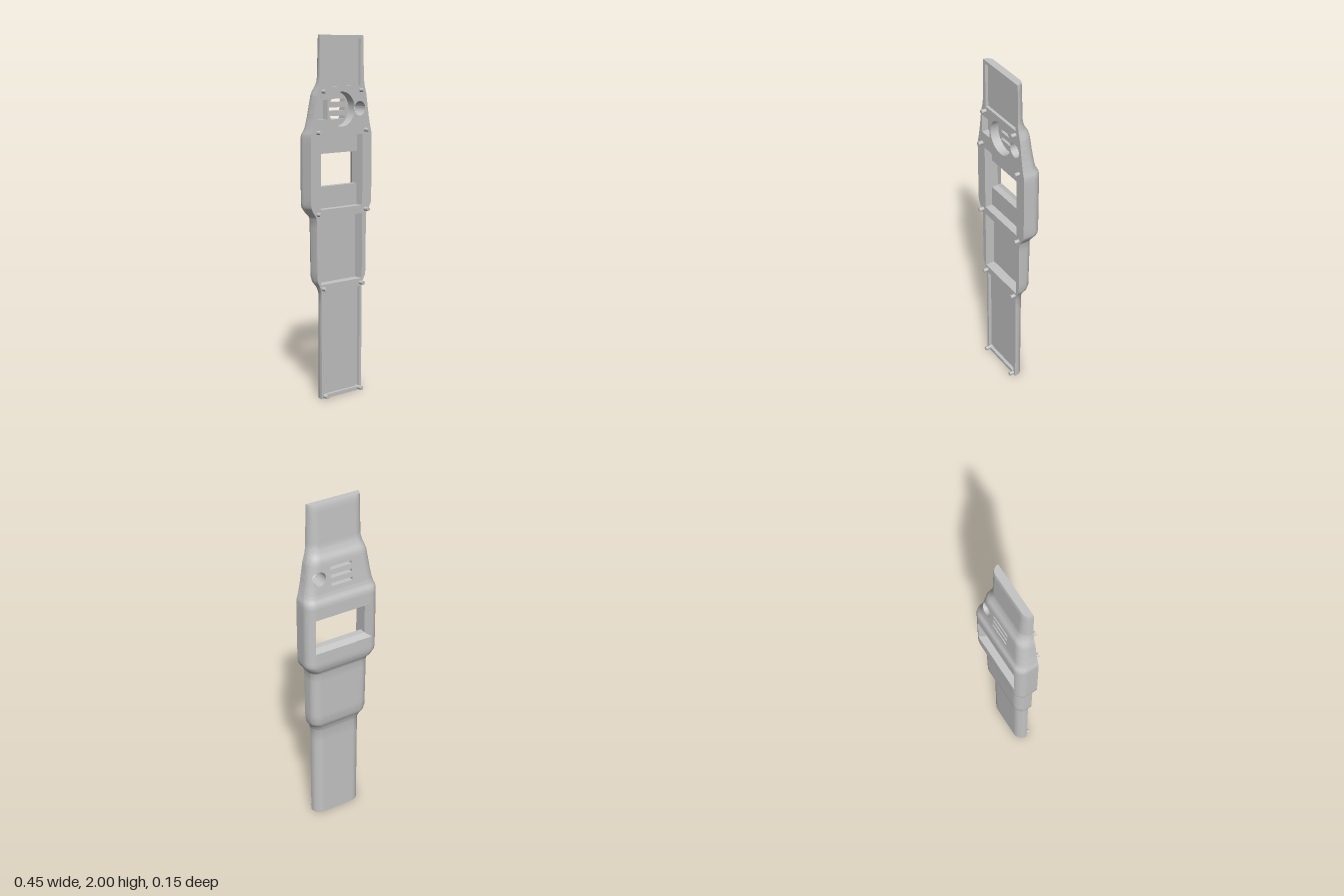
import * as THREE from 'three';
import { mergeGeometries, toCreasedNormals } from 'three/addons/utils/BufferGeometryUtils.js';

const FRONT = 0.045;
// Body profile along its length: [y, half width, back z]
const PROFILE = [
  [0, 0.151, -0.015], [0.6, 0.151, -0.017], [0.63, 0.16, -0.025], [0.66, 0.177, -0.04], [0.69, 0.182, -0.046],
  [1.0, 0.184, -0.05], [1.02, 0.188, -0.053], [1.045, 0.207, -0.066], [1.07, 0.222, -0.073], [1.09, 0.225, -0.075],
  [1.45, 0.225, -0.075], [1.47, 0.223, -0.071], [1.49, 0.217, -0.06], [1.51, 0.212, -0.055], [1.56, 0.202, -0.05],
  [1.68, 0.184, -0.04], [1.7, 0.178, -0.036], [1.73, 0.17, -0.02], [1.76, 0.165, -0.01], [1.985, 0.16, 0], [2, 0.158, 0.004],
];
const lerp = THREE.MathUtils.lerp;

function section(y) {
  let i = 0;
  while (i < PROFILE.length - 2 && PROFILE[i + 1][0] < y) i++;
  const [a, b] = [PROFILE[i], PROFILE[i + 1]];
  const t = (y - a[0]) / (b[0] - a[0]);
  const w = lerp(a[1], b[1], t), back = lerp(a[2], b[2], t);
  return { w, back, r: Math.min(0.055, FRONT - back) };
}

// Back surface depth: flat middle with rounded long edges
function backZ(x, y) {
  const { w, back, r } = section(y);
  const d = Math.min(r, Math.max(0, Math.abs(x) - (w - r)));
  return back + r - Math.sqrt(r * r - d * d);
}

// Surface from f(u, v); it faces du x dv
function grid(us, vs, f) {
  const pos = [], index = [], n = vs.length;
  us.forEach((u, i) => vs.forEach((v, j) => {
    pos.push(...f(u, v));
    if (i && j) {
      const d = i * n + j, a = d - n - 1, b = d - 1, c = d - n;
      index.push(a, b, d, a, d, c);
    }
  }));
  const g = new THREE.BufferGeometry();
  g.setAttribute('position', new THREE.Float32BufferAttribute(pos, 3));
  g.setIndex(index);
  return g.toNonIndexed();
}
const steps = (n) => Array.from({ length: n + 1 }, (_, i) => i / n);

// Profile heights between two limits, with extra rows in long spans
function rows(y0, y1) {
  const knots = [y0, ...PROFILE.map((p) => p[0]).filter((y) => y > y0 + 1e-4 && y < y1 - 1e-4), y1];
  return knots.flatMap((y, i) => {
    if (!i) return [y];
    const n = Math.min(8, Math.ceil((y - knots[i - 1]) / 0.012));
    return steps(n).slice(1).map((t) => lerp(knots[i - 1], y, t));
  });
}

// Piece of the back surface between two x limits (null = outer edge)
function sheet(y0, y1, xa, xb, n) {
  return grid(rows(y0, y1), steps(n), (y, t) => {
    const { w } = section(y);
    const a = Math.asin(xa === null ? -1 : xa / w), b = Math.asin(xb === null ? 1 : xb / w);
    const x = w * Math.sin(lerp(a, b, t));
    return [x, y, backZ(x, y)];
  });
}

const rect = (x0, x1, y0, y1) => [[x0, y0], [x1, y0], [x1, y1], [x0, y1]];
const circle = (cx, cy, r, n = 48) =>
  Array.from({ length: n }, (_, i) => [cx + r * Math.cos(i / n * 2 * Math.PI), cy + r * Math.sin(i / n * 2 * Math.PI)]);

// Inward-facing wall around an opening
const wall = (loop, z0, z1) => grid([...loop, loop[0]], [0, 1], ([x, y], v) =>
  [x, y, lerp(z0, typeof z1 === 'function' ? z1(x, y) : z1, v)]);

// Flat forward-facing plate with openings
function plate(loop, holes, z) {
  const vec = (l) => l.map((p) => new THREE.Vector2(...p));
  const s = new THREE.Shape(vec(loop));
  holes.forEach((h) => s.holes.push(new THREE.Path(vec(h))));
  return new THREE.ShapeGeometry(s).translate(0, 0, z);
}

export function createModel() {
  const group = new THREE.Group();
  const grey = new THREE.MeshStandardMaterial({ color: 0xc4c4c4 });
  grey.name = 'grey';
  const add = (name, geometry, parent = group) => {
    const m = new THREE.Mesh(geometry, grey);
    m.name = name;
    parent.add(m);
    return m;
  };

  // Openings: the window flares out towards the back
  const wx = 0.178, wy0 = 1.165, wy1 = 1.375, lipZ = -0.038;
  const windowInner = rect(-0.155, 0.155, 1.18, 1.36), windowOuter = rect(-wx, wx, wy0, wy1);
  const slotYs = [1.552, 1.599, 1.646], slotH = 0.009, slotW = 0.065;
  const slots = slotYs.map((y) => rect(-slotW, slotW, y - slotH, y + slotH));
  const hx = 0.135, hy = 1.6, hs = 0.045;
  const roundHole = circle(hx, hy, 0.04, 64);

  // Back shell, cut around the window, the slots and the round hole
  const parts = [
    sheet(0, wy0, null, null, 48),
    sheet(wy0, wy1, null, -wx, 14), sheet(wy0, wy1, wx, null, 14),
    sheet(wy1, 1.53, null, null, 48), sheet(1.67, 2, null, null, 48),
    sheet(1.53, 1.67, null, -slotW, 20), sheet(1.53, 1.67, slotW, hx - hs, 4),
    sheet(1.53, hy - hs, hx - hs, hx + hs, 12), sheet(hy + hs, 1.67, hx - hs, hx + hs, 12),
    sheet(1.53, 1.67, hx + hs, null, 10),
  ];
  const bars = [1.53, ...slotYs.flatMap((y) => [y - slotH, y + slotH]), 1.67];
  for (let i = 0; i < bars.length; i += 2) parts.push(sheet(bars[i], bars[i + 1], -slotW, slotW, 4));
  // Patch from the round hole out to its square cut-out
  parts.push(grid(steps(64), steps(6), (u, v) => {
    const a = u * 2 * Math.PI, c = Math.cos(a), s = Math.sin(a);
    const d = lerp(0.04, hs / Math.max(Math.abs(c), Math.abs(s)), v);
    const x = hx + d * c, y = hy + d * s;
    return [x, y, backZ(x, y)];
  }));
  // Straight long sides
  const side = (sign) => (y, v) => {
    const { w, back, r } = section(y);
    return [sign * w, y, lerp(back + r, FRONT, v)];
  };
  parts.push(grid(rows(0, 2), [0, 1], side(1)));
  parts.push(grid([0, 1], rows(0, 2), (v, y) => side(-1)(y, v)));
  // End caps
  const cap = (y) => (t, v) => {
    const x = section(y).w * Math.sin((t - 0.5) * Math.PI);
    return [x, y, lerp(backZ(x, y), FRONT, v)];
  };
  parts.push(grid(steps(48), [0, 1], cap(0)));
  parts.push(grid([0, 1], steps(48), (v, t) => cap(2)(t, v)));
  add('backShell', toCreasedNormals(mergeGeometries(parts), 0.7));

  // Flared window frame on the back
  const corners = [0, 1, 2, 3, 0];
  add('windowBevel', toCreasedNormals(grid(corners, [0, 1], (i, v) => {
    const [x, y] = v ? windowOuter[i] : windowInner[i];
    return [x, y, v ? backZ(x, y) : lipZ];
  }), 0.5));

  // Recesses open to the front, each with walls and a floor
  const recesses = [
    { name: 'lowerStrapRecess', loop: rect(-0.135, 0.135, 0.02, 0.6), floor: 0.026, cuts: [] },
    { name: 'batteryRecess', loop: rect(-0.155, 0.153, 0.645, 1.014), floor: -0.01, cuts: [] },
    { name: 'displayRecess', loop: rect(-0.155, 0.155, 1.06, 1.458), floor: 0, cuts: [windowInner], end: lipZ },
    { name: 'speakerRecess', loop: circle(0, 1.6, 0.095), floor: -0.005, cuts: slots, end: backZ },
    { name: 'switchRecess', loop: rect(-0.178, -0.105, 1.548, 1.655), floor: 0.008, cuts: [] },
    { name: 'upperStrapRecess', loop: rect(-0.14, 0.14, 1.725, 1.98), floor: 0.028, cuts: [] },
  ];
  for (const { name, loop, floor, cuts, end } of recesses) {
    const g = new THREE.Group();
    g.name = name;
    group.add(g);
    add('wall', toCreasedNormals(wall(loop, FRONT, floor), 0.7), g);
    // The window spans the full recess width, so its floor is two ledges
    if (name === 'displayRecess') {
      add('lowerLedge', plate(rect(-0.155, 0.155, 1.06, 1.18), [], floor), g);
      add('upperLedge', plate(rect(-0.155, 0.155, 1.36, 1.458), [], floor), g);
    } else add('floor', plate(loop, cuts, floor), g);
    cuts.forEach((c) => add('openingWall', toCreasedNormals(wall(c, floor, end), 0.7), g));
  }
  add('roundHoleWall', toCreasedNormals(wall(roundHole, FRONT, backZ), 0.7));

  // Front rim joining all recesses
  const outline = [...PROFILE.map(([y, w]) => [w, y]), ...PROFILE.map(([y, w]) => [-w, y]).reverse()];
  add('frontRim', plate(outline, [...recesses.map((r) => r.loop), roundHole], FRONT));

  // Locating pegs, mirrored left and right
  for (const [x, y] of [[0.13, 0.014], [0.14, 0.622], [0.177, 1.037], [0.177, 1.48], [0.14, 1.7]]) {
    for (const sign of [-1, 1]) {
      const peg = add('locatingPeg', new THREE.CylinderGeometry(0.011, 0.011, 0.048, 24));
      peg.rotation.x = Math.PI / 2;
      peg.position.set(sign * x, y, 0.049);
    }
  }
  return group;
}
